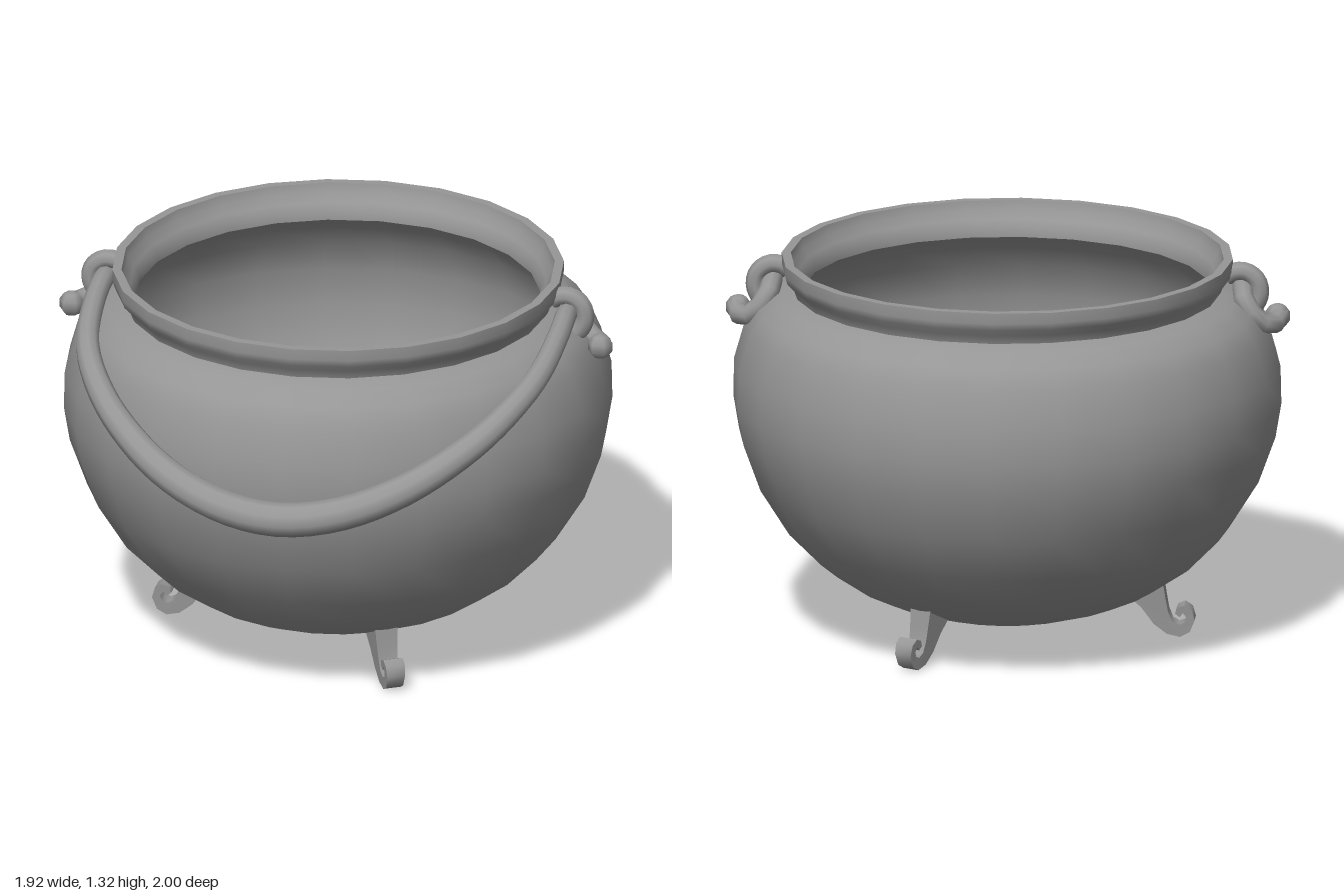
import * as THREE from 'three';
import { toCreasedNormals } from 'three/addons/utils/BufferGeometryUtils.js';

const material = new THREE.MeshStandardMaterial({ color: 0x969696, side: THREE.DoubleSide });
const POT_Z = -0.07; // the pot sits slightly behind the origin, the handle in front

function addMesh(parent, name, geometry) {
  const mesh = new THREE.Mesh(geometry, material);
  mesh.name = name;
  parent.add(mesh);
  return mesh;
}

// Tube whose radius follows radiusAt(t) along a smooth path
function taperedTube(points, segments, sides, radiusAt) {
  const curve = new THREE.CatmullRomCurve3(points.map((p) => new THREE.Vector3(...p)));
  const geometry = new THREE.TubeGeometry(curve, segments, 1, sides);
  const pos = geometry.attributes.position;
  const v = new THREE.Vector3();
  for (let i = 0; i < pos.count; i++) {
    const t = Math.floor(i / (sides + 1)) / segments;
    const centre = curve.getPointAt(t);
    v.fromBufferAttribute(pos, i).sub(centre).multiplyScalar(radiusAt(t)).add(centre);
    pos.setXYZ(i, v.x, v.y, v.z);
  }
  return geometry;
}

// Turned surfaces of the pot [radius, height]; each is smooth, with sharp edges between them
const POT_PROFILES = {
  body: [
    [0, 0.06], [0.16, 0.07], [0.3, 0.1], [0.42, 0.138], [0.52, 0.183], [0.645, 0.268],
    [0.755, 0.38], [0.855, 0.54], [0.913, 0.7], [0.933, 0.82], [0.93, 0.95],
    [0.893, 1.08], [0.85, 1.145], [0.79, 1.188], [0.727, 1.205],
  ],
  rimOutside: [[0.727, 1.205], [0.738, 1.235], [0.762, 1.26], [0.768, 1.285], [0.768, 1.322]],
  rimTop: [[0.768, 1.322], [0.737, 1.322]],
  rimInside: [[0.737, 1.322], [0.73, 1.29], [0.708, 1.262], [0.692, 1.235], [0.69, 1.205]],
  interior: [
    [0.69, 1.205], [0.76, 1.15], [0.83, 1.07], [0.875, 0.95], [0.88, 0.82], [0.86, 0.7],
    [0.805, 0.55], [0.71, 0.405], [0.6, 0.3], [0.44, 0.205], [0.28, 0.15], [0, 0.11],
  ],
};

// Flat foot with a curled toe; x runs outward from the pot axis
function footGeometry() {
  const outline = [
    [0.4, 0.16], [0.46, 0.1], [0.5, 0.045], [0.545, 0.01], [0.59, 0], [0.623, 0.018],
    [0.64, 0.06], [0.63, 0.095], [0.605, 0.112], [0.58, 0.102], [0.573, 0.082],
    [0.588, 0.07], [0.6, 0.084], [0.612, 0.068], [0.605, 0.05], [0.585, 0.043],
    [0.563, 0.055], [0.549, 0.09], [0.54, 0.14], [0.53, 0.205],
  ].map(([x, y]) => new THREE.Vector2(x, y));
  const depth = 0.06;
  const geometry = new THREE.ExtrudeGeometry(new THREE.Shape(outline), { depth, bevelEnabled: false });
  geometry.translate(0, 0, -depth / 2);
  // widen towards the top
  const pos = geometry.attributes.position;
  for (let i = 0; i < pos.count; i++) {
    pos.setZ(i, pos.getZ(i) * (1 + 2 * Math.max(0, pos.getY(i) - 0.03)));
  }
  return toCreasedNormals(geometry, 0.9);
}

// Half of the handle, from the hooked end to just before the middle
const HANDLE_HALF = [
  [0.925, 1.12, -0.03], [0.91, 1.105, -0.085], [0.87, 1.115, -0.125],
  [0.825, 1.165, -0.133], [0.802, 1.212, -0.1], [0.802, 1.228, -0.03],
  [0.805, 1.21, 0.1], [0.785, 1.15, 0.33], [0.735, 1.093, 0.48],
  [0.62, 1.0, 0.65], [0.42, 0.89, 0.82], [0.21, 0.818, 0.907],
];

export function createModel() {
  const group = new THREE.Group();
  group.name = 'cauldron';

  for (const [name, profile] of Object.entries(POT_PROFILES)) {
    const points = profile.map(([r, y]) => new THREE.Vector2(r, y));
    addMesh(group, name, new THREE.LatheGeometry(points, 24)).position.z = POT_Z;
  }

  // Three feet spaced evenly round the base
  const foot = footGeometry();
  [Math.PI, Math.PI / 3, -Math.PI / 3].forEach((angle, i) => {
    const mesh = addMesh(group, 'foot' + (i + 1), foot);
    mesh.position.z = POT_Z;
    mesh.rotation.y = angle;
  });

  // Swinging handle, thickest in the middle, with hooked ends
  const otherHalf = HANDLE_HALF.map(([x, y, z]) => [-x, y, z]).reverse();
  const path = [...HANDLE_HALF, [0, 0.793, 0.937], ...otherHalf];
  const thickness = (t) => 0.036 + 0.024 * (1 - THREE.MathUtils.smoothstep(Math.abs(t - 0.5), 0, 0.42));
  addMesh(group, 'handle', taperedTube(path, 64, 10, thickness));

  for (const side of [1, -1]) {
    const label = side > 0 ? 'left' : 'right';
    // Knob closing the hook
    addMesh(group, label + 'HookKnob', new THREE.SphereGeometry(0.045, 6, 5))
      .position.set(side * 0.918, 1.118, -0.035);
    // Ear bent from the rim down to the shoulder
    const ear = [
      [0.745, 1.262], [0.77, 1.277], [0.81, 1.279], [0.848, 1.25],
      [0.858, 1.205], [0.843, 1.165], [0.81, 1.13],
    ].map(([x, y]) => [side * x, y, POT_Z + 0.005]);
    addMesh(group, label + 'Ear', taperedTube(ear, 16, 8, () => 0.033));
  }
  return group;
}
